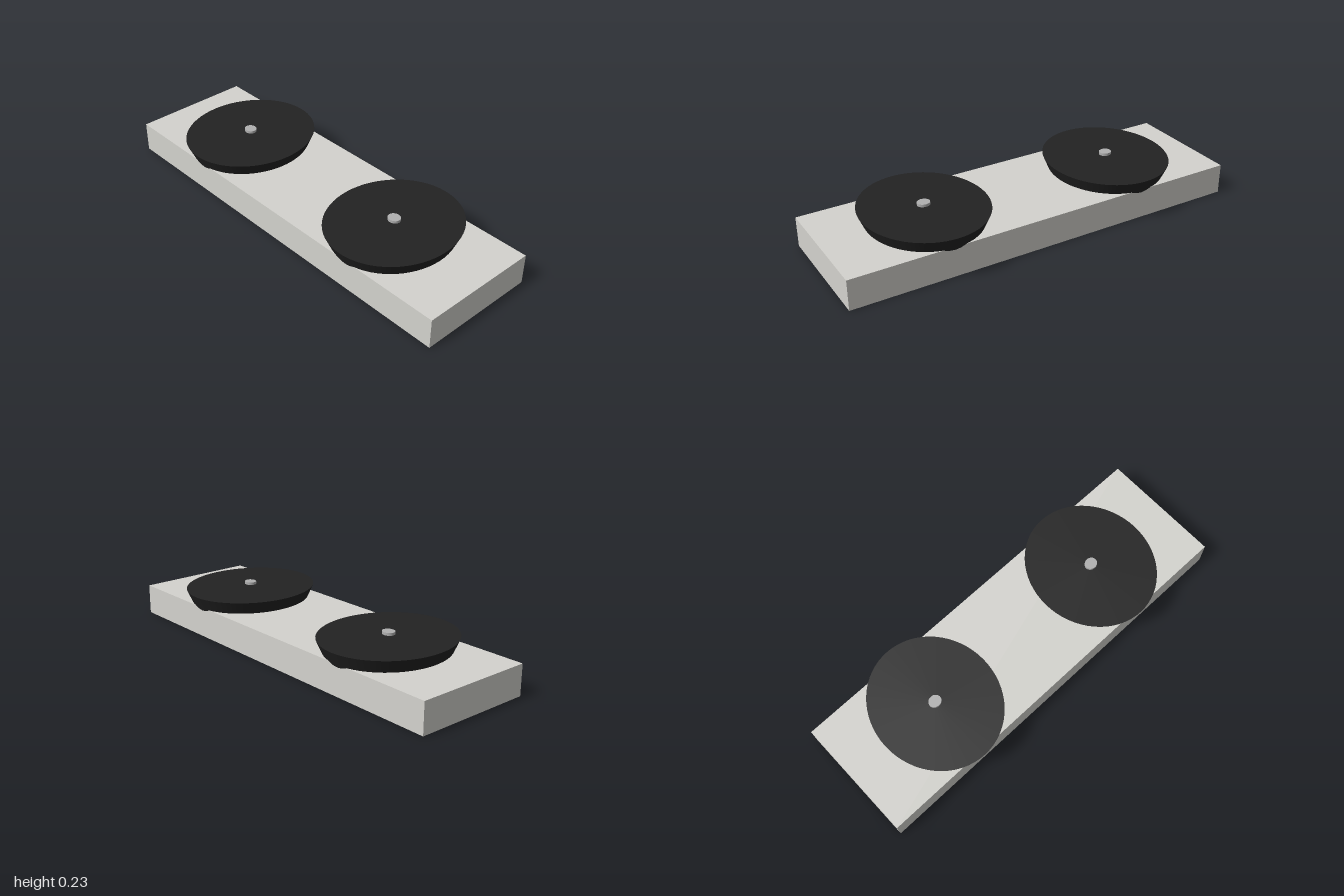
import * as THREE from 'three';

const material = (color) => new THREE.MeshStandardMaterial({ color });

// Round part with an oval plan, spanning y0 to y1; radii are given along x
function ovalDisc(name, topRadius, bottomRadius, depthRatio, y0, y1, mat) {
  const geometry = new THREE.CylinderGeometry(topRadius, bottomRadius, y1 - y0, 64);
  geometry.scale(1, 1, depthRatio);
  const mesh = new THREE.Mesh(geometry, mat);
  mesh.name = name;
  mesh.position.y = (y0 + y1) / 2;
  return mesh;
}

export function createModel() {
  const model = new THREE.Group();
  model.name = 'twinDiscBoard';
  const baseMaterial = material(0xd4d3ce);
  const discMaterial = material(0x222222);
  const knobMaterial = material(0xb0b0b0);

  // Flat slab
  const base = new THREE.Mesh(new THREE.BoxGeometry(2, 0.15, 0.6), baseMaterial);
  base.name = 'base';
  base.position.y = 0.075;
  model.add(base);

  // Two tapered discs sunk into the slab, each with a small button hovering above
  for (const side of [-1, 1]) {
    const unit = new THREE.Group();
    unit.name = side > 0 ? 'leftTurntable' : 'rightTurntable';
    unit.position.x = side * 0.5;
    unit.add(
      ovalDisc('disc', 0.3, 0.258, 0.335 / 0.3, 0.11, 0.211, discMaterial),
      ovalDisc('centreButton', 0.031, 0.031, 0.028 / 0.031, 0.217, 0.23, knobMaterial),
    );
    model.add(unit);
  }
  return model;
}
